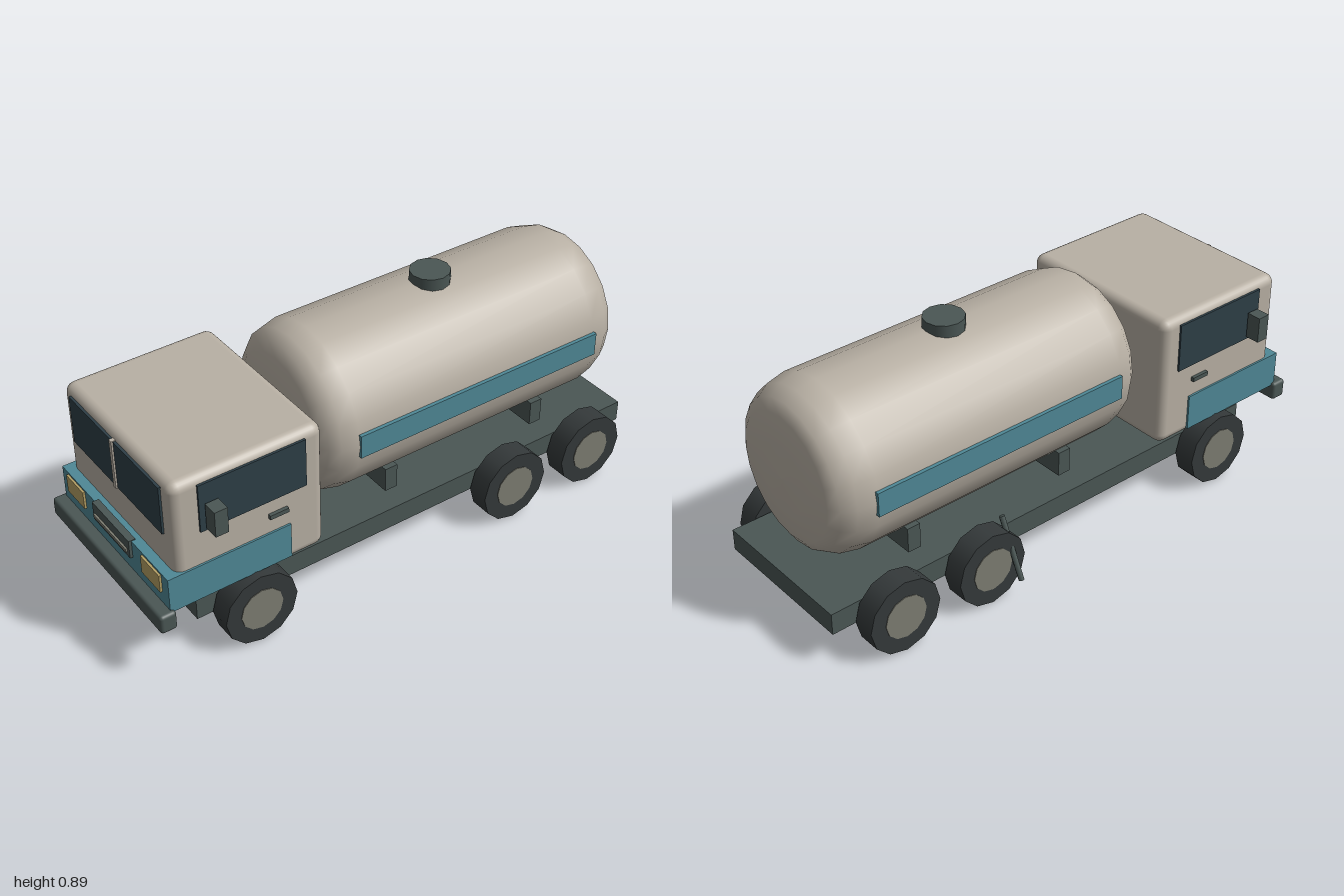
import * as THREE from 'three';
import { RoundedBoxGeometry } from 'three/addons/geometries/RoundedBoxGeometry.js';

const mat = (color) => new THREE.MeshStandardMaterial({ color });
const PAINT = mat(0xb8b0a4), TEAL = mat(0x4f8896), FRAME = mat(0x4a5654), GLASS = mat(0x2e3f47);
const TYRE = mat(0x34393a), HUB = mat(0x7d7d72), LAMP = mat(0xb5a065);

export function createModel() {
  const model = new THREE.Group();
  model.name = 'tankerTruck';
  const truck = new THREE.Group();
  truck.name = 'truck';
  truck.position.x = 0.0075; // the side hose shifts the overall centre
  model.add(truck);

  const add = (name, geometry, material) => {
    const mesh = new THREE.Mesh(geometry, material);
    mesh.name = name;
    truck.add(mesh);
    return mesh;
  };
  // Box given by its min/max extents; a radius rounds its edges
  const box = (name, material, [x0, x1], [y0, y1], [z0, z1], radius = 0) => {
    const size = [x1 - x0, y1 - y0, z1 - z0];
    const g = radius ? new RoundedBoxGeometry(...size, 3, radius) : new THREE.BoxGeometry(...size);
    g.translate((x0 + x1) / 2, (y0 + y1) / 2, (z0 + z1) / 2);
    return add(name, g, material);
  };
  // The same box on both sides
  const pair = (name, material, [x0, x1], y, z) => {
    box(name + 'Left', material, [x0, x1], y, z);
    box(name + 'Right', material, [-x1, -x0], y, z);
  };

  // Chassis and bumper
  box('chassis', FRAME, [-0.283, 0.283], [0.125, 0.205], [-1, 0.83]);
  box('bumper', FRAME, [-0.361, 0.361], [0.21, 0.281], [0.94, 1], 0.012);

  // Cab
  box('cab', PAINT, [-0.338, 0.338], [0.25, 0.744], [0.365, 0.92], 0.035);
  box('cabBand', TEAL, [-0.345, 0.345], [0.27, 0.405], [0.5, 0.955]);
  box('windshield', GLASS, [-0.283, 0.283], [0.535, 0.717], [0.9, 0.928]);
  box('windshieldPost', PAINT, [-0.008, 0.008], [0.533, 0.72], [0.9, 0.934]);
  pair('sideWindow', GLASS, [0.32, 0.345], [0.535, 0.717], [0.437, 0.828]);
  pair('doorHandle', FRAME, [0.33, 0.351], [0.465, 0.481], [0.51, 0.58]);
  pair('mirror', FRAME, [0.354, 0.408], [0.552, 0.648], [0.765, 0.812]);
  pair('headlight', LAMP, [0.188, 0.304], [0.33, 0.398], [0.94, 0.963]);
  box('grille', FRAME, [-0.12, 0.12], [0.338, 0.408], [0.94, 0.965]);
  box('grilleBar', HUB, [-0.106, 0.106], [0.357, 0.37], [0.95, 0.972]);

  // Tank: rounded profile turned about the z axis
  const profile = [
    [0, -0.963], [0.12, -0.958], [0.225, -0.948], [0.262, -0.925], [0.29, -0.88], [0.305, -0.81],
    [0.305, 0.2], [0.29, 0.262], [0.262, 0.295], [0.225, 0.318], [0.12, 0.332], [0, 0.337],
  ].map(([r, z]) => new THREE.Vector2(r, z));
  const tank = add('tank', new THREE.LatheGeometry(profile, 20).rotateX(Math.PI / 2), PAINT);
  tank.position.y = 0.552;
  pair('tankStripe', TEAL, [0.285, 0.311], [0.51, 0.598], [-0.818, 0.2]);
  for (const z of [0.015, -0.632]) {
    box('tankSaddle', FRAME, [-0.23, 0.23], [0.242, 0.335], [z - 0.025, z + 0.025]);
  }
  add('hatch', new THREE.CylinderGeometry(0.072, 0.072, 0.05, 12), FRAME).position.set(0, 0.866, -0.31);

  // Wheels on three axles
  const tyre = new THREE.CylinderGeometry(0.137, 0.137, 0.081, 12).rotateZ(Math.PI / 2);
  const hub = new THREE.CylinderGeometry(0.08, 0.08, 0.086, 12).rotateZ(Math.PI / 2);
  for (const z of [0.64, -0.425, -0.782]) {
    for (const side of [-1, 1]) {
      add('tyre', tyre, TYRE).position.set(side * 0.334, 0.137, z);
      add('hub', hub, HUB).position.set(side * 0.334, 0.137, z);
    }
  }

  // Hose hanging at the right side
  const path = new THREE.LineCurve3(new THREE.Vector3(-0.413, 0.07, -0.335), new THREE.Vector3(-0.325, 0.29, -0.345));
  const hose = new THREE.CylinderGeometry(0.01, 0.01, path.getLength(), 8);
  const pipe = add('hose', hose, FRAME);
  pipe.position.copy(path.getPoint(0.5));
  pipe.quaternion.setFromUnitVectors(new THREE.Vector3(0, 1, 0), path.getTangent(0));

  return model;
}
